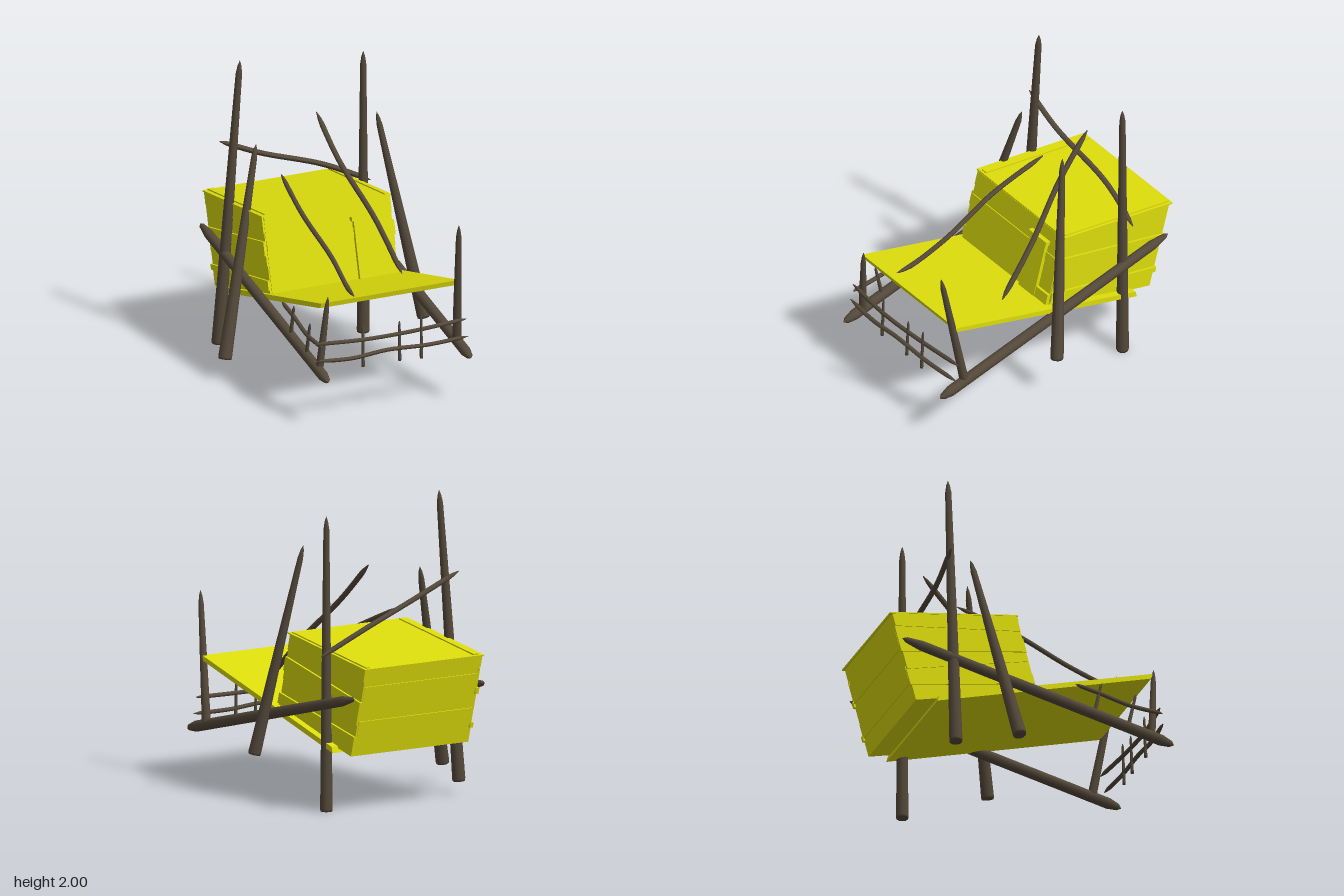
import * as THREE from 'three';

const V = (a) => new THREE.Vector3(...a);

export function createModel() {
  const model = new THREE.Group();
  const yellow = new THREE.MeshStandardMaterial({ color: 0xdddd0c });
  yellow.name = 'yellow boards';
  const brown = new THREE.MeshStandardMaterial({ color: 0x54493a });
  brown.name = 'dark wood';

  function add(name, geometry, material, parent = model) {
    const mesh = new THREE.Mesh(geometry, material);
    mesh.name = name;
    parent.add(mesh);
    return mesh;
  }

  // Side outline given as [z, y] points, extruded from x0 to x1
  function prism(points, x0, x1) {
    const shape = new THREE.Shape(points.map(([z, y]) => new THREE.Vector2(z, y)));
    const g = new THREE.ExtrudeGeometry(shape, { depth: x1 - x0, bevelEnabled: false });
    return g.rotateY(-Math.PI / 2).translate(x1, 0, 0);
  }

  // Straight tapered pole with a sharpened top, optionally sharpened at both ends
  function pole(name, from, to, r0, r1, bothEnds = false, tip = 0.09) {
    const a = V(from), dir = V(to).sub(a), len = dir.length();
    const profile = bothEnds
      ? [[0, 0], [r0 * 0.6, 0.025], [r0, tip], [r0, len * 0.5], [r1, len - tip * 1.5], [r1 * 0.55, len - 0.03], [0, len]]
      : [[0, 0], [r0 * 0.93, 0], [r0, 0.015], [(r0 + r1) / 2, len / 2], [r1, len - tip], [r1 * 0.6, len - tip * 0.4], [0, len]];
    const g = new THREE.LatheGeometry(profile.map(([r, y]) => new THREE.Vector2(r, y)), 10);
    const mesh = add(name, g, brown);
    mesh.position.copy(a);
    mesh.quaternion.setFromUnitVectors(new THREE.Vector3(0, 1, 0), dir.normalize());
  }

  // Bent stick that narrows to a point at each end
  function branch(name, points, radius) {
    const curve = new THREE.CatmullRomCurve3(points.map(V));
    const rings = 24, sides = 8;
    const g = new THREE.TubeGeometry(curve, rings, radius, sides);
    const p = g.attributes.position, v = new THREE.Vector3();
    for (let i = 0; i <= rings; i++) {
      const c = curve.getPointAt(i / rings);
      const end = Math.min(i, rings - i);
      const k = end === 0 ? 0.15 : end === 1 ? 0.75 : 1;
      for (let j = 0; j <= sides; j++) {
        const n = i * (sides + 1) + j;
        v.fromBufferAttribute(p, n).sub(c).multiplyScalar(k).add(c);
        p.setXYZ(n, v.x, v.y, v.z);
      }
    }
    g.computeVertexNormals();
    add(name, g, brown);
  }

  // Sloping deck
  add('deck', prism([[0.80, 0.775], [0.81, 0.81], [-0.64, 0.435], [-0.65, 0.395]], -0.44, 0.545), yellow);

  // Tilted cabin: P(u, v) is a point on its side, u from front to back, v upward
  const F0 = [0.03, 0.575], F1 = [-0.105, 1.085], B0 = [-0.785, 0.39], B1 = [-0.945, 0.975];
  const P = (u, v) => [0, 1].map((i) =>
    (1 - u) * ((1 - v) * F0[i] + v * F1[i]) + u * ((1 - v) * B0[i] + v * B1[i]));
  const cabin = new THREE.Group();
  cabin.name = 'cabin';
  model.add(cabin);
  add('cabinCore', prism([P(0, 0), P(1, 0), P(1, 1), P(0, 1)], -0.405, 0.485), yellow, cabin);

  // Crooked planks on both sides
  const front = [0, 0.1, 0.22, 0.4, 0.52, 0.7, 0.8, 1];
  const back = [0, 0.17, 0.23, 0.36, 0.56, 0.63, 0.86, 1];
  for (let i = 0; i < 7; i++) {
    const out = [0.012, 0.021, 0.007][i % 3], end = 1 + [0.004, 0.018, 0.01][i % 3];
    const outline = [P(0, front[i]), P(end, back[i]), P(end, back[i + 1]), P(0, front[i + 1])];
    add('leftPlank', prism(outline, 0.48, 0.485 + out), yellow, cabin);
    add('rightPlank', prism(outline, -0.405 - out, -0.40), yellow, cabin);
  }

  // Boards on the back and front walls
  for (let i = 0; i < 5; i++) {
    const v0 = i / 5, v1 = v0 + 0.2, t = 1.004 + 0.008 * (i % 2);
    add('backBoard', prism([P(0.99, v0), P(t, v0), P(t, v1), P(0.99, v1)], -0.40, 0.48), yellow, cabin);
  }
  [[0, 0.58, 0.006], [0.58, 0.68, 0.012], [0.68, 0.95, 0.004], [0.95, 1, 0.012]].forEach(([v0, v1, t]) =>
    add('frontBoard', prism([P(-t, v0), P(0.01, v0), P(0.01, v1), P(-t, v1)], -0.405, 0.485), yellow, cabin));

  // Roof with edge strips
  add('roof', prism([P(-0.01, 1), P(1.02, 1), P(1.02, 1.015), P(-0.01, 1.015)], -0.42, 0.51), yellow, cabin);
  add('rightRoofStrip', prism([P(0.01, 1), P(1.0, 1), P(1.0, 1.03), P(0.01, 1.03)], -0.39, -0.345), yellow, cabin);
  add('leftRoofStrip', prism([P(0.01, 1), P(1.0, 1), P(1.0, 1.03), P(0.01, 1.03)], 0.465, 0.49), yellow, cabin);

  // Door with a lintel
  add('door', prism([P(-0.035, 0.02), P(0.01, 0.02), P(0.01, 0.78), P(-0.035, 0.78)], 0.21, 0.37), yellow, cabin);
  add('lintel', prism([P(-0.045, 0.78), P(0.01, 0.78), P(0.01, 0.83), P(-0.045, 0.83)], 0.195, 0.38), yellow, cabin);
  add('doorSide', prism([P(-0.03, 0), P(0.01, 0), P(0.01, 0.2), P(-0.03, 0.2)], 0.37, 0.49), yellow, cabin);

  // Support poles
  pole('rightBackPole', [-0.51, 0.09, -0.55], [-0.355, 2, -0.55], 0.044, 0.021);
  pole('leftBackPole', [0.523, 0, -0.55], [0.523, 1.92, -0.55], 0.042, 0.02);
  pole('rightMiddlePole', [-0.65, 0.135, -0.165], [-0.32, 1.48, -0.385], 0.045, 0.02);
  pole('leftMiddlePole', [0.65, 0.29, 0.075], [0.42, 1.66, -0.145], 0.043, 0.019);

  // Long sloping side beams
  pole('leftBeam', [0.56, 0.32, 0.95], [0.547, 0.785, -0.9], 0.036, 0.033, true);
  pole('rightBeam', [-0.455, 0.32, 0.95], [-0.468, 0.785, -0.9], 0.036, 0.033, true);

  // Front posts
  pole('leftFrontPost', [0.555, 0.38, 0.75], [0.5, 1.22, 0.895], 0.03, 0.018);
  pole('rightFrontPost', [-0.45, 0.34, 0.80], [-0.4, 0.86, 0.83], 0.026, 0.017);

  // Railings
  branch('upperFrontRail', [[-0.5, 0.55, 0.84], [-0.15, 0.535, 0.86], [0.2, 0.53, 0.845], [0.59, 0.54, 0.82]], 0.014);
  branch('lowerFrontRail', [[-0.5, 0.44, 0.86], [-0.25, 0.425, 0.87], [0, 0.442, 0.87], [0.3, 0.425, 0.86], [0.59, 0.43, 0.845]], 0.014);
  [[-0.165, 0.35, 0.64], [0.095, 0.35, 0.62], [0.25, 0.34, 0.63]].forEach(([x, y0, y1]) =>
    pole('frontBaluster', [x, y0, 0.86], [x + 0.003, y1, 0.85], 0.011, 0.008, false, 0.03));
  branch('rightSideRail', [[-0.46, 0.53, 0.87], [-0.465, 0.55, 0.65], [-0.46, 0.605, 0.45], [-0.46, 0.645, 0.28]], 0.014);
  [[0.64, 0.42, 0.64, 0.69], [0.41, 0.47, 0.68, 0.455]].forEach(([z0, y0, y1, z1]) =>
    pole('sideBaluster', [-0.46, y0, z0], [-0.46, y1, z1], 0.013, 0.009, false, 0.03));

  // Crossbar and leaning branches
  branch('backCrossbar', [[-0.49, 1.46, -0.575], [-0.2, 1.335, -0.57], [0.27, 1.165, -0.61], [0.59, 1.015, -0.585]], 0.018);
  branch('leftBranch', [[0.18, 1.565, -0.53], [0.22, 1.31, -0.28], [0.325, 1.0, 0.03], [0.38, 0.71, 0.31]], 0.018);
  branch('rightBranch', [[-0.17, 0.79, 0.74], [-0.16, 0.81, 0.62], [-0.14, 0.92, 0.35], [-0.16, 1.085, -0.03], [-0.13, 1.23, -0.41]], 0.016);

  return model;
}
